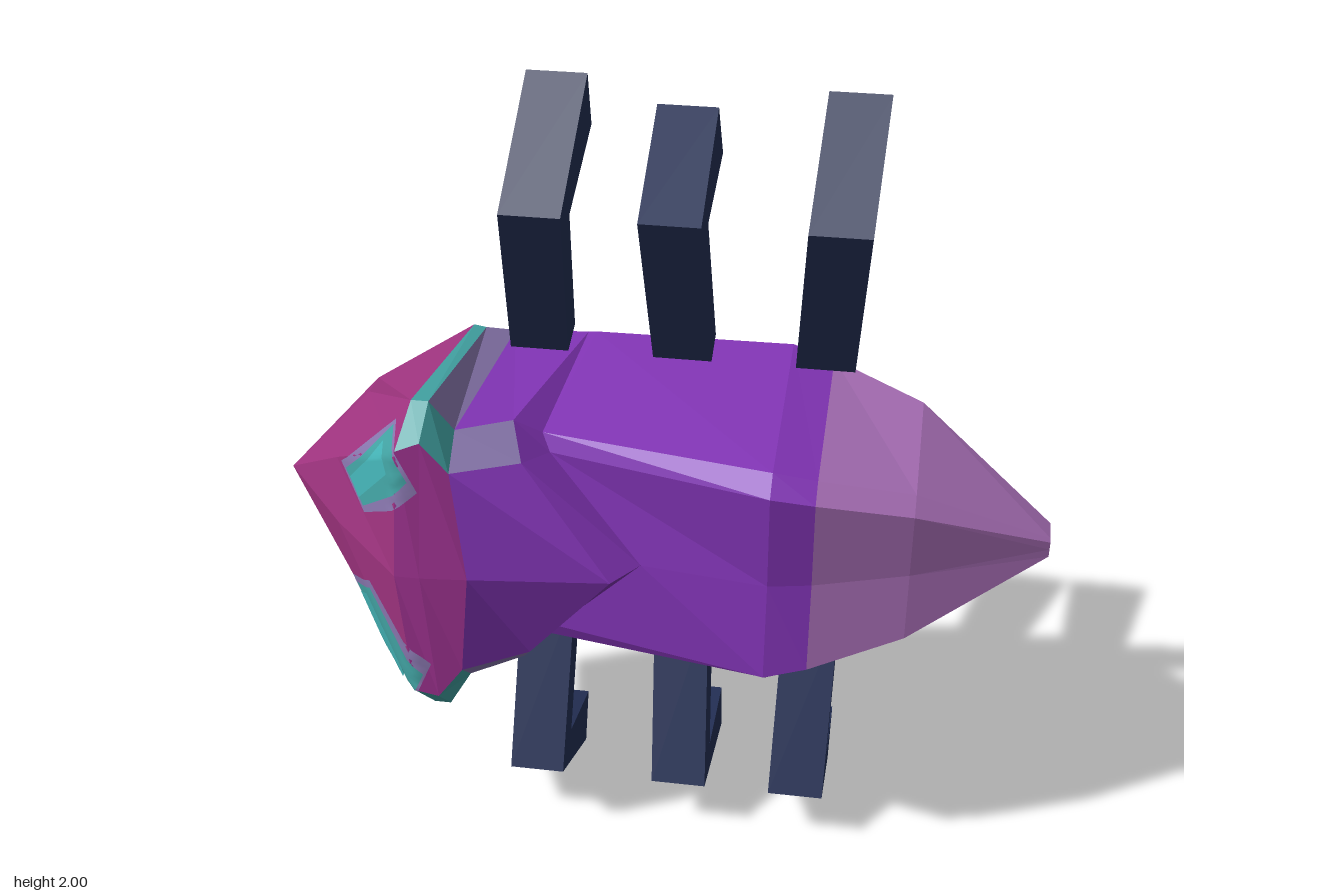
import * as THREE from 'three';

const mat = (name, color) => {
  const m = new THREE.MeshStandardMaterial({ color });
  m.name = name;
  return m;
};

export function createModel() {
  const model = new THREE.Group();
  const M = {
    crimson: mat('crimson', 0xa03480),
    magenta: mat('magenta', 0xa23494),
    purple: mat('purple', 0x8234b6),
    mauve: mat('mauve', 0xa66db4),
    teal: mat('teal', 0x43a5a5),
    cyan: mat('cyan', 0x45b5b8),
    lavender: mat('lavender', 0x8a78b0),
    navy: mat('navy', 0x243056),
  };
  for (const k of ['teal', 'cyan', 'lavender']) M[k].side = THREE.DoubleSide;

  // Half cross-section: shell middle, shell edge, shoulder, flank, belly middle,
  // each as [x, distance from the centre line, z]; the other half is mirrored.
  const ring = (yc, ...half) => {
    const at = (p, s) => new THREE.Vector3(p[0], yc + s * p[1], p[2]);
    return [...half.map((p) => at(p, 1)), ...[3, 2, 1].map((i) => at(half[i], -1))];
  };
  const point = (x, y, z) => ring(y, ...Array(5).fill([x, 0, z]));

  const nose = point(-0.95, 0.94, -0.14);
  const cheek = ring(0.95, [-0.76, 0, 0.1], [-0.76, 0.16, 0.06], [-0.68, 0.32, 0.01], [-0.72, 0.24, -0.19], [-0.72, 0, -0.2]);
  const rim = ring(0.965, [-0.56, 0, 0.32], [-0.535, 0.34, 0.315], [-0.51, 0.432, 0.24], [-0.47, 0.39, -0.2], [-0.5, 0, -0.25]);
  const rimBack = ring(0.965, [-0.5, 0, 0.32], [-0.48, 0.36, 0.305], [-0.47, 0.432, 0.24], [-0.44, 0.385, -0.2], [-0.42, 0, -0.255]);
  const collar = ring(0.965, [-0.39, 0, 0.31], [-0.42, 0.28, 0.295], [-0.42, 0.35, 0.22], [-0.38, 0.355, -0.25], [-0.36, 0, -0.26]);
  const shellEdge = ring(0.97, [-0.06, 0, 0.28], [-0.27, 0.27, 0.22], [-0.3, 0.34, 0.15], [-0.2, 0.355, -0.26], [-0.2, 0, -0.265]);
  const shellUnder = ring(0.975, [0, 0, 0.205], [-0.22, 0.25, 0.14], [-0.24, 0.29, 0.12], [-0.18, 0.352, -0.26], [-0.18, 0, -0.265]);
  const hip = ring(0.98, [0.3, 0, 0.25], [0.3, 0.25, 0.27], [0.3, 0.29, 0.22], [0.3, 0.352, -0.26], [0.3, 0, -0.26]);
  const band = ring(0.98, [0.4, 0, 0.23], [0.4, 0.23, 0.25], [0.4, 0.265, 0.2], [0.4, 0.325, -0.25], [0.4, 0, -0.25]);
  const taper = ring(0.985, [0.62, 0, 0.165], [0.62, 0.17, 0.18], [0.62, 0.2, 0.13], [0.62, 0.26, -0.18], [0.62, 0, -0.18]);
  const tail = ring(0.985, [0.94, 0, 0.01], [0.94, 0.02, 0.01], [0.94, 0.025, 0], [0.94, 0.028, -0.06], [0.94, 0, -0.06]);
  const tailEnd = point(0.94, 0.985, -0.02);

  // Skin a run of rings with flat facets; 'paint' picks a material per facet
  const body = new THREE.Group();
  body.name = 'body';
  model.add(body);
  const skin = (name, rings, base, paint = () => null) => {
    const verts = [];
    const used = [];
    const geo = new THREE.BufferGeometry();
    for (let i = 0; i + 1 < rings.length; i++) {
      for (let j = 0; j < 8; j++) {
        const k = (j + 1) % 8;
        const [a, b, c, d] = [rings[i][j], rings[i][k], rings[i + 1][j], rings[i + 1][k]];
        const m = paint(i, Math.min(j, 7 - j)) || base;
        if (!used.includes(m)) used.push(m);
        geo.addGroup(verts.length, 6, used.indexOf(m));
        verts.push(a, c, b, b, c, d);
      }
    }
    geo.setFromPoints(verts);
    geo.computeVertexNormals();
    const mesh = new THREE.Mesh(geo, used);
    mesh.name = name;
    body.add(mesh);
    return mesh;
  };

  const head = skin('head', [nose, cheek, rim], M.crimson);
  const neck = skin('collar', [rim, rimBack, collar], M.magenta, (i, j) =>
    j === 1 ? M.teal : j === 2 ? (i ? M.lavender : M.teal) : null);
  skin('backPlate', [collar, shellEdge, shellUnder], M.purple, (i, j) => (i === 0 && j === 1 ? M.lavender : null));
  skin('abdomen', [shellUnder, hip, band], M.purple);
  skin('tail', [band, taper, tail, tailEnd], M.mauve);

  // Eye patches: thin sheets laid over the face
  const ray = new THREE.Raycaster();
  const down = new THREE.Vector3(0, 0, -1);
  const sheet = (name, corners, lift, material, flip) => {
    const n = 8;
    const geo = new THREE.PlaneGeometry(1, 1, n, n);
    const pos = geo.attributes.position;
    const [a, b, c, d] = corners;
    for (let i = 0; i < pos.count; i++) {
      const u = pos.getX(i) + 0.5;
      const v = pos.getY(i) + 0.5;
      const mix = (q) => (1 - v) * ((1 - u) * a[q] + u * b[q]) + v * ((1 - u) * d[q] + u * c[q]);
      const x = mix(0);
      const y = flip ? 1.91 - mix(1) : mix(1);
      ray.set(new THREE.Vector3(x, y, 2), down);
      const hit = ray.intersectObjects([head, neck])[0];
      pos.setXYZ(i, x, y, (hit ? hit.point.z : 0.28) + lift);
    }
    if (flip) {
      const idx = geo.index.array;
      for (let i = 0; i < idx.length; i += 3) [idx[i], idx[i + 1]] = [idx[i + 1], idx[i]];
    }
    geo.computeVertexNormals();
    const mesh = new THREE.Mesh(geo, material);
    mesh.name = name;
    model.add(mesh);
  };
  for (const flip of [false, true]) {
    const side = flip ? 'lower' : 'upper';
    sheet(side + 'EyeHalo', [[-0.74, 1.12], [-0.66, 1.05], [-0.49, 1.2], [-0.55, 1.34]], 0.005, M.lavender, flip);
    sheet(side + 'EyePatch', [[-0.72, 1.12], [-0.66, 1.07], [-0.51, 1.23], [-0.555, 1.33]], 0.01, M.teal, flip);
    sheet(side + 'Eye', [[-0.7, 1.12], [-0.67, 1.09], [-0.56, 1.24], [-0.58, 1.29]], 0.02, M.cyan, flip);
  }

  // Bent legs: profile in z and distance from the body's centre line, extruded across x
  const leg = (name, side, x, lean, tip, heel) => {
    const profile = [[-0.15, 0.36], [0.05, 0.8], tip, heel, [-0.07, 0.755], [-0.23, 0.39]];
    const shape = new THREE.Shape(profile.map(([z, d]) => new THREE.Vector2(z, 0.97 + side * d)));
    const geo = new THREE.ExtrudeGeometry(shape, { depth: 0.14, bevelEnabled: false });
    geo.translate(0, 0, -0.07).rotateY(-Math.PI / 2);
    const pos = geo.attributes.position;
    for (let i = 0; i < pos.count; i++) {
      const d = Math.abs(pos.getY(i) - 0.97) - 0.36;
      pos.setX(i, pos.getX(i) + x + lean * d);
    }
    geo.computeVertexNormals();
    const mesh = new THREE.Mesh(geo, M.navy);
    mesh.name = name;
    model.add(mesh);
  };
  leg('upperFrontLeg', 1, -0.3, 0.07, [-0.22, 1.03], [-0.315, 0.87]);
  leg('upperMiddleLeg', 1, 0.045, -0.01, [-0.25, 0.955], [-0.335, 0.81]);
  leg('upperRearLeg', 1, 0.385, 0.06, [-0.22, 1.02], [-0.315, 0.86]);
  leg('lowerFrontLeg', -1, -0.3, -0.01, [-0.28, 0.968], [-0.325, 0.83]);
  leg('lowerMiddleLeg', -1, 0.05, 0.05, [-0.3, 0.875], [-0.325, 0.77]);
  leg('lowerRearLeg', -1, 0.385, -0.015, [-0.28, 0.945], [-0.325, 0.8]);

  return model;
}
